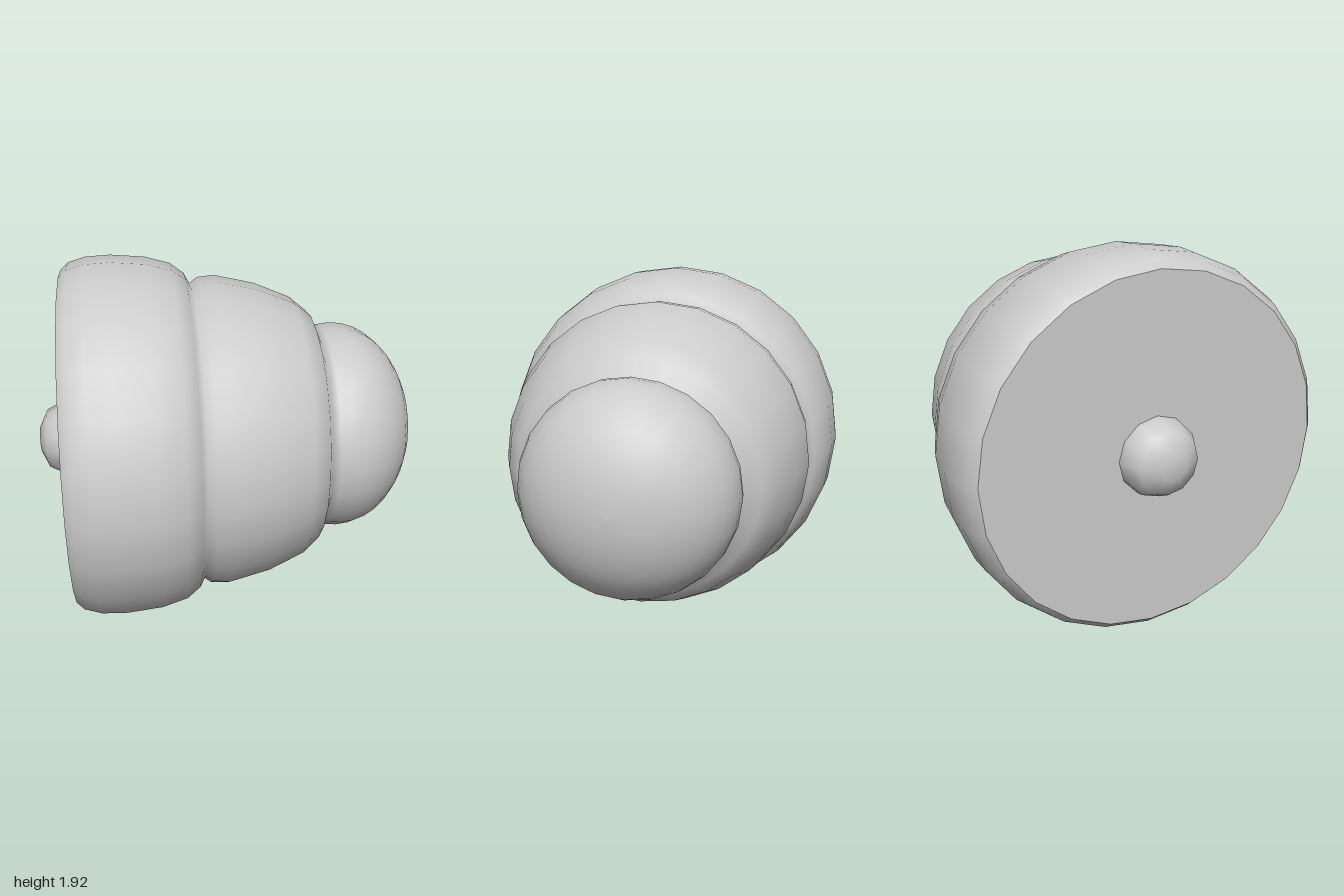
import * as THREE from 'three';

const AXIS_Y = 0.965;

export function createModel() {
  const group = new THREE.Group();
  const material = new THREE.MeshStandardMaterial({ color: 0xcccccc });

  // Turned part lying along x, profile given as [x, radius] from back to tip
  const turned = (name, profile, sides) => {
    const points = profile.map(([x, r]) => new THREE.Vector2(r, x));
    const geometry = new THREE.LatheGeometry(points, sides);
    geometry.rotateZ(-Math.PI / 2);
    const mesh = new THREE.Mesh(geometry, material);
    mesh.name = name;
    mesh.position.y = AXIS_Y;
    group.add(mesh);
  };

  // Rounded tip: half ellipse closing the body
  const dome = [];
  for (let i = 0; i <= 10; i++) {
    const a = (i / 10) * Math.PI / 2;
    dome.push([0.58 + 0.418 * Math.sin(a), i === 10 ? 0 : 0.562 * Math.cos(a)]);
  }

  // Three stepped tiers with soft grooves between them
  turned('tieredBody', [
    [-0.84, 0.89], [-0.8, 0.928], [-0.71, 0.955], [-0.58, 0.961],
    [-0.4, 0.945], [-0.27, 0.908], [-0.2, 0.855], [-0.17, 0.8],
    [-0.13, 0.83], [-0.04, 0.838], [0.17, 0.79], [0.36, 0.71],
    [0.45, 0.635], [0.485, 0.545], [0.52, 0.556], ...dome,
  ], 24);

  // Flat back
  turned('backPlate', [[-0.84, 0], [-0.84, 0.89]], 24);

  // Small round knob on the back
  turned('backKnob', [
    [-1, 0], [-1, 0.07], [-0.96, 0.155], [-0.88, 0.195], [-0.83, 0.2],
  ], 12);

  return group;
}
